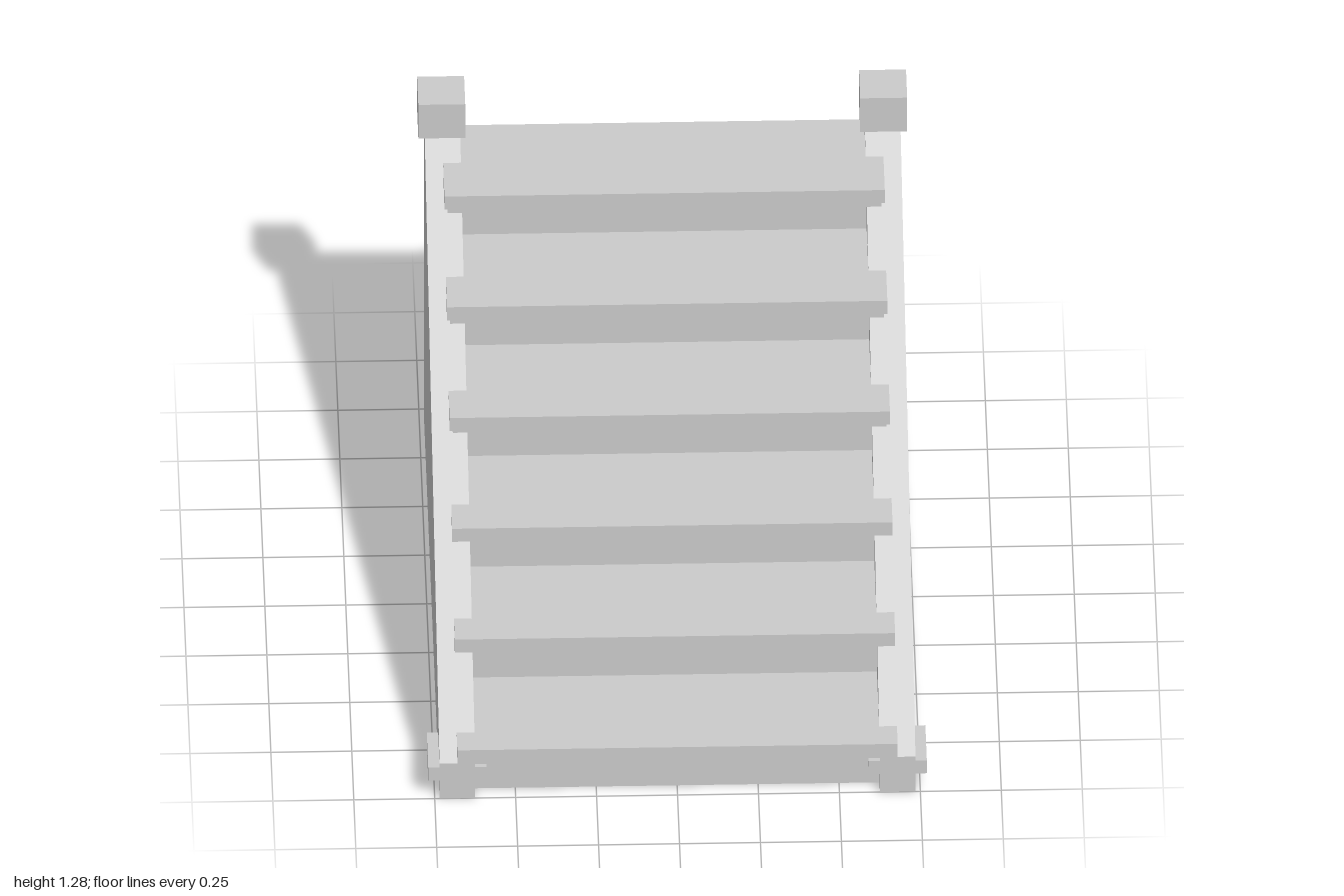
import * as THREE from 'three';

const STEPS = 6, RISE = 0.185, RUN = 0.323, BACK = -0.98;
const TREAD = 0.05, NOSE = 0.05; // tread thickness, overhang past the riser

export function createModel() {
  const model = new THREE.Group();
  const material = new THREE.MeshStandardMaterial({ color: 0xcccccc, flatShading: true });

  const add = (name, geometry) => {
    const mesh = new THREE.Mesh(geometry, material);
    mesh.name = name;
    model.add(mesh);
    return mesh;
  };

  // Box given by its limits on each axis
  const box = (name, [x0, x1], [y0, y1], [z0, z1]) =>
    add(name, new THREE.BoxGeometry(x1 - x0, y1 - y0, z1 - z0))
      .position.set((x0 + x1) / 2, (y0 + y1) / 2, (z0 + z1) / 2);

  // Side profile of [z, y] points, extruded across x0..x1
  const slab = (name, points, x0, x1) => {
    const shape = new THREE.Shape(points.map(([z, y]) => new THREE.Vector2(-z, y)));
    const geometry = new THREE.ExtrudeGeometry(shape, { depth: x1 - x0, bevelEnabled: false });
    geometry.rotateY(Math.PI / 2).translate(x0, 0, 0);
    add(name, geometry);
  };

  // Solid stepped core: risers set back below the treads
  const core = [[BACK, 0], [1 - NOSE, 0]];
  for (let i = 0; i < STEPS; i++) {
    const y = RISE * (i + 1) - TREAD;
    const next = i < STEPS - 1 ? 1 - RUN * (i + 1) - NOSE : BACK;
    core.push([1 - RUN * i - NOSE, y], [next, y]);
  }
  slab('steppedCore', core, -0.63, 0.63);

  // Treads with a thin moulding under each nose
  for (let i = 0; i < STEPS; i++) {
    const top = RISE * (i + 1), front = 1 - RUN * i;
    const rear = i < STEPS - 1 ? front - RUN - NOSE : BACK;
    box('tread', [-0.68, 0.68], [top - TREAD, top], [rear, front]);
    box('noseMoulding', [-0.67, 0.67], [top - TREAD - 0.025, top - TREAD], [front - 0.035, front - 0.015]);
  }

  // Sloped side walls, with a post cap at the top and a block at the foot
  const wall = [[BACK, 0], [1, 0], [1, 0.135], [-0.87, 1.155], [BACK, 1.155]];
  for (const s of [-1, 1]) {
    const span = (a, b) => (s > 0 ? [a, b] : [-b, -a]);
    slab('sideWall', wall, ...span(0.625, 0.735));
    box('postCap', span(0.61, 0.755), [1.155, 1.285], [-1, -0.855]);
    box('footBlock', span(0.59, 0.77), [0.07, 0.12], [0.82, 1]);
  }
  return model;
}
